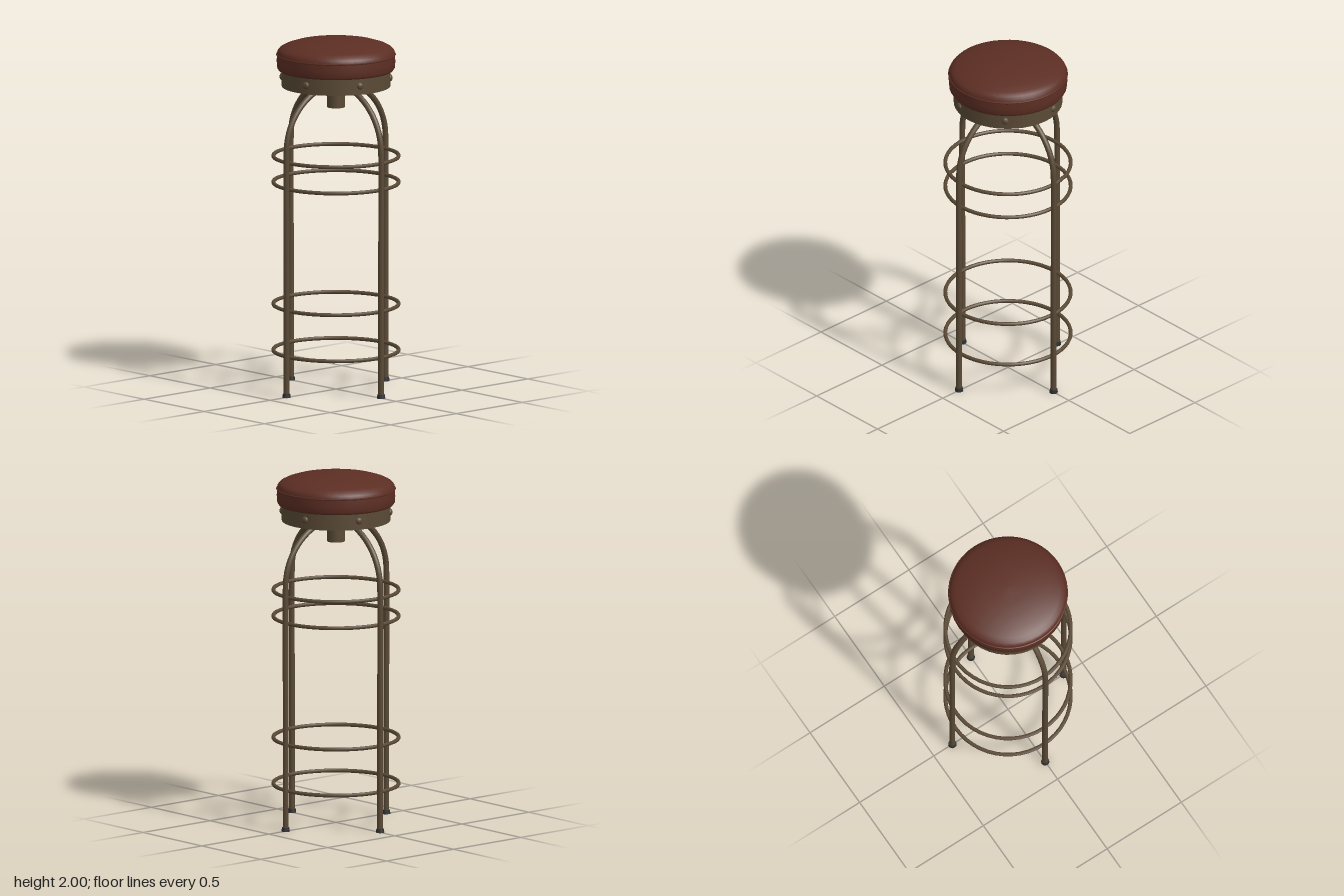
import * as THREE from 'three';

export function createModel() {
  const model = new THREE.Group();
  const paint = (name, color, side = THREE.FrontSide) => {
    const m = new THREE.MeshStandardMaterial({ color, side });
    m.name = name;
    return m;
  };
  const leather = paint('redBrownLeather', 0x5c2e23);
  const bronze = paint('agedBronze', 0x5a4a36, THREE.DoubleSide);
  const rubber = paint('darkRubber', 0x2e2f31);
  const steel = paint('greySteel', 0x3e434c);

  const add = (name, geometry, material, x = 0, y = 0, z = 0, parent = model) => {
    const mesh = new THREE.Mesh(geometry, material);
    mesh.name = name;
    mesh.position.set(x, y, z);
    parent.add(mesh);
    return mesh;
  };
  const lathe = (points, segments = 40) =>
    new THREE.LatheGeometry(points.map(p => new THREE.Vector2(...p)), segments);
  const ring = (radius, tube, sides = 8) =>
    new THREE.TorusGeometry(radius, tube, sides, 48).rotateX(Math.PI / 2);

  // Cushion: upright lower wall, and a domed top above the seam
  add('cushionSide', lathe([[0, 1.82], [0.3, 1.82], [0.322, 1.823], [0.33, 1.835],
    [0.333, 1.87], [0.331, 1.91]]), leather);
  add('cushionTop', lathe([[0.331, 1.91], [0.328, 1.93], [0.315, 1.945], [0.29, 1.958],
    [0.24, 1.974], [0.17, 1.988], [0.09, 1.997], [0, 2]]), leather);
  add('seamPiping', ring(0.331, 0.005, 6), leather, 0, 1.911, 0);

  // Metal band under the cushion, open below
  add('seatBand', new THREE.CylinderGeometry(0.305, 0.305, 0.09, 40, 1, true), bronze, 0, 1.775, 0);
  add('bandRim', new THREE.RingGeometry(0.295, 0.305, 40).rotateX(Math.PI / 2), bronze, 0, 1.73, 0);
  add('bandLining', lathe([[0.295, 1.82], [0.295, 1.73]]), steel);

  // Domed rivets around the band
  for (let i = 0; i < 6; i++) {
    const a = THREE.MathUtils.degToRad(14 + i * 60);
    const rivet = add('rivet', new THREE.SphereGeometry(0.021, 10, 5, 0, Math.PI * 2, 0, Math.PI / 2)
      .scale(1, 0.7, 1).rotateX(Math.PI / 2), bronze, 0.303 * Math.sin(a), 1.78, 0.303 * Math.cos(a));
    rivet.rotation.y = a;
  }

  // Swivel plate and central post
  add('swivelPlate', new THREE.BoxGeometry(0.22, 0.02, 0.22), steel, 0, 1.808, 0);
  add('centrePost', new THREE.CylinderGeometry(0.05, 0.05, 0.2, 20), bronze, 0, 1.71, 0);

  // Four legs, each bending inward to the post, with rubber feet
  const path = [new THREE.Vector3(0.375, 0.01, 0), new THREE.Vector3(0.375, 0.7, 0)];
  for (let i = 0; i <= 10; i++) {
    const t = i / 10 * Math.PI / 2;
    path.push(new THREE.Vector3(0.375 * Math.cos(t), 1.4 + 0.345 * Math.sin(t), 0));
  }
  const legCurve = new THREE.CatmullRomCurve3(path);
  const legGeometry = new THREE.TubeGeometry(legCurve, 56, 0.0165, 10);
  for (let i = 0; i < 4; i++) {
    const leg = new THREE.Group();
    leg.name = 'legAssembly';
    leg.rotation.y = i * Math.PI / 2;
    add('leg', legGeometry, bronze, 0, 0, 0, leg);
    add('foot', new THREE.CylinderGeometry(0.021, 0.024, 0.022, 10), rubber, 0.375, 0.011, 0, leg);
    model.add(leg);
  }

  // Hoops that tie the legs together
  for (const y of [0.225, 0.488, 1.182, 1.332]) add('hoop', ring(0.352, 0.011), bronze, 0, y, 0);

  return model;
}
